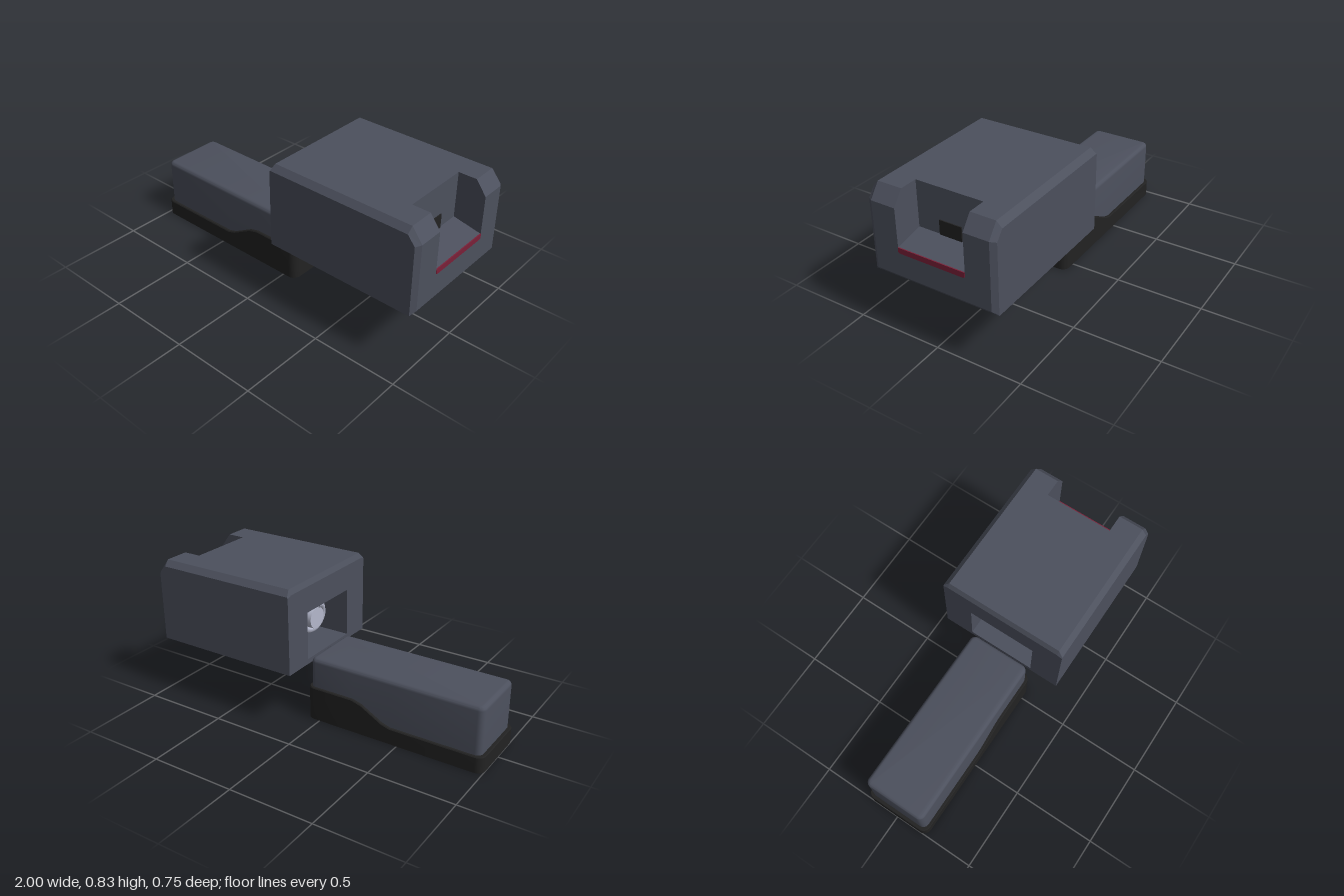
import * as THREE from 'three';
import { toCreasedNormals } from 'three/addons/utils/BufferGeometryUtils.js';

const paint = (name, color) => Object.assign(new THREE.MeshStandardMaterial({ color }), { name });

// Joins equal-length rings of [x, y, z] into a closed skin, facing outwards
function loft(rings, { caps = false, crease = 0.35 } = {}) {
  const n = rings[0].length;
  const pts = rings.flat();
  const tris = [];
  const loops = caps ? rings.length - 1 : rings.length;
  for (let k = 0; k < loops; k++) {
    const a = k * n, b = ((k + 1) % rings.length) * n;
    for (let i = 0; i < n; i++) {
      const j = (i + 1) % n;
      tris.push([a + i, a + j, b + j], [a + i, b + j, b + i]);
    }
  }
  if (caps) {
    const e = (rings.length - 1) * n;
    for (let i = 1; i < n - 1; i++) tris.push([0, i + 1, i], [e, e + i, e + i + 1]);
  }
  // turn the skin the right way out by the sign of its volume
  let volume = 0;
  const v = i => new THREE.Vector3(...pts[i]);
  for (const [a, b, c] of tris) volume += v(a).dot(v(b).cross(v(c)));
  if (volume < 0) tris.forEach(t => t.reverse());
  const geo = new THREE.BufferGeometry();
  geo.setAttribute('position', new THREE.Float32BufferAttribute(pts.flat(), 3));
  geo.setIndex(tris.flat());
  return toCreasedNormals(geo, crease);
}

// Upper edge of the grip sleeve along x
const wave = [[-0.45, 0.095], [-0.4, 0.11], [-0.27, 0.183], [-0.21, 0.2]];
function waveHeight(x) {
  if (x <= wave[0][0]) return wave[0][1];
  for (let i = 1; i < wave.length; i++) {
    const [x0, y0] = wave[i - 1], [x1, y1] = wave[i];
    if (x <= x1) return y0 + (y1 - y0) * (x - x0) / (x1 - x0);
  }
  return 0.2;
}

// Rounded rectangle in plan, with extra points on the long sides for the wave
function planRing(x0, x1, hz, r, height) {
  const ring = [];
  const add = (x, z) => ring.push([x, typeof height === 'function' ? height(x) : height, z]);
  const corner = (cx, cz, start) => {
    for (let i = 0; i <= 6; i++) {
      const a = start + (i / 6) * Math.PI / 2;
      add(cx + r * Math.cos(a), cz + r * Math.sin(a));
    }
  };
  corner(x1 - r, hz - r, 0);
  [...wave].reverse().forEach(p => add(p[0], hz));
  corner(x0 + r, hz - r, Math.PI / 2);
  corner(x0 + r, -hz + r, Math.PI);
  wave.forEach(p => add(p[0], -hz));
  corner(x1 - r, -hz + r, Math.PI * 1.5);
  return ring;
}

export function createModel() {
  const model = new THREE.Group();
  const slate = paint('slate', 0x4c505d);
  const black = paint('black', 0x222222);
  const red = paint('dark red', 0x7a2038);
  const steel = paint('steel', 0xb4b8cc);
  const add = (name, geo, mat, parent = model) => {
    const mesh = new THREE.Mesh(geo, mat);
    mesh.name = name;
    parent.add(mesh);
    return mesh;
  };

  // Open-bottomed tray with rounded upper edges
  const tray = [planRing(-0.965, 0.055, 0.176, 0.025, 0.35), planRing(-0.965, 0.055, 0.176, 0.025, 0.06),
    planRing(-0.98, 0.07, 0.188, 0.035, 0.06)];
  for (let i = 0; i <= 6; i++) {
    const a = (i / 6) * Math.PI / 2, d = 0.025 * (1 - Math.cos(a));
    tray.push(planRing(-0.98 + d, 0.07 - d, 0.188 - d, 0.035 - d, 0.35 + 0.025 * Math.sin(a)));
  }
  add('tray', loft(tray, { caps: true }), slate);

  // Grip sleeve around the tray
  add('gripSleeve', loft([
    planRing(-1, 0.085, 0.204, 0.045, 0),
    planRing(-1, 0.085, 0.204, 0.045, x => waveHeight(x) - 0.005),
    planRing(-0.996, 0.081, 0.2, 0.041, waveHeight),
    planRing(-0.958, 0.048, 0.172, 0.022, waveHeight),
    planRing(-0.958, 0.048, 0.172, 0.022, 0),
  ]), black);

  // Housing: middle slice with rear cavity and front notch
  const housing = new THREE.Group();
  housing.name = 'housing';
  model.add(housing);
  const profile = [[0.075, 0.34], [0.98, 0.34], [1, 0.365], [1, 0.53], [0.835, 0.565], [0.835, 0.83],
    [0.09, 0.83], [0.075, 0.8], [0.075, 0.65], [0.78, 0.65], [0.78, 0.37], [0.075, 0.37]];
  const middle = new THREE.ExtrudeGeometry(
    new THREE.Shape(profile.map(p => new THREE.Vector2(...p))), { depth: 0.4, bevelEnabled: false });
  middle.translate(0, 0, -0.2);
  add('housingMiddle', middle, slate, housing);

  // Housing: bevelled cheeks on both sides
  const full = [[0.075, 0.34], [0.98, 0.34], [1, 0.365], [1, 0.75], [0.94, 0.83], [0.09, 0.83], [0.075, 0.8]];
  const rim = [[0.075, 0.34], [0.98, 0.34], [0.98, 0.342], [0.98, 0.745], [0.938, 0.797], [0.079, 0.797], [0.075, 0.79]];
  for (const [side, name] of [[1, 'leftCheek'], [-1, 'rightCheek']]) {
    const at = (pts, z) => pts.map(([x, y]) => [x, y, z * side]);
    add(name, loft([at(full, 0.2), at(full, 0.345), at(rim, 0.375)], { caps: true, crease: 0.05 }), slate, housing);
  }

  // Feed opening on the notch wall
  const opening = add('feedOpening', new THREE.BoxGeometry(0.008, 0.083, 0.134), black, housing);
  opening.position.set(0.837, 0.6065, 0);

  // Red strip below the notch
  const strip = new THREE.Shape([[-0.2, 0.531], [-0.2, 0.506], [-0.19, 0.5], [0.19, 0.5], [0.2, 0.506], [0.2, 0.531]]
    .map(p => new THREE.Vector2(...p)));
  const stripGeo = new THREE.ExtrudeGeometry(strip, { depth: 0.006, bevelEnabled: false });
  stripGeo.rotateY(Math.PI / 2).translate(0.996, 0, 0);
  add('redStrip', stripGeo, red, housing);

  // Spiral cutter in the cavity
  const cutter = new THREE.Group();
  cutter.name = 'spiralCutter';
  cutter.position.set(0, 0.53, 0);
  housing.add(cutter);
  const turns = 7;
  const helix = [];
  for (let i = 0; i <= turns * 12; i++) {
    const a = (i / 12) * Math.PI * 2;
    helix.push(new THREE.Vector3(0.15 + 0.55 * i / (turns * 12), 0.08 * Math.cos(a), 0.08 * Math.sin(a)));
  }
  add('spiralBlade', new THREE.TubeGeometry(new THREE.CatmullRomCurve3(helix), 200, 0.02, 6), steel, cutter);
  const shaft = add('cutterShaft', new THREE.CylinderGeometry(0.065, 0.065, 0.63, 20), steel, cutter);
  shaft.rotation.z = Math.PI / 2;
  shaft.position.x = 0.465;

  return model;
}
